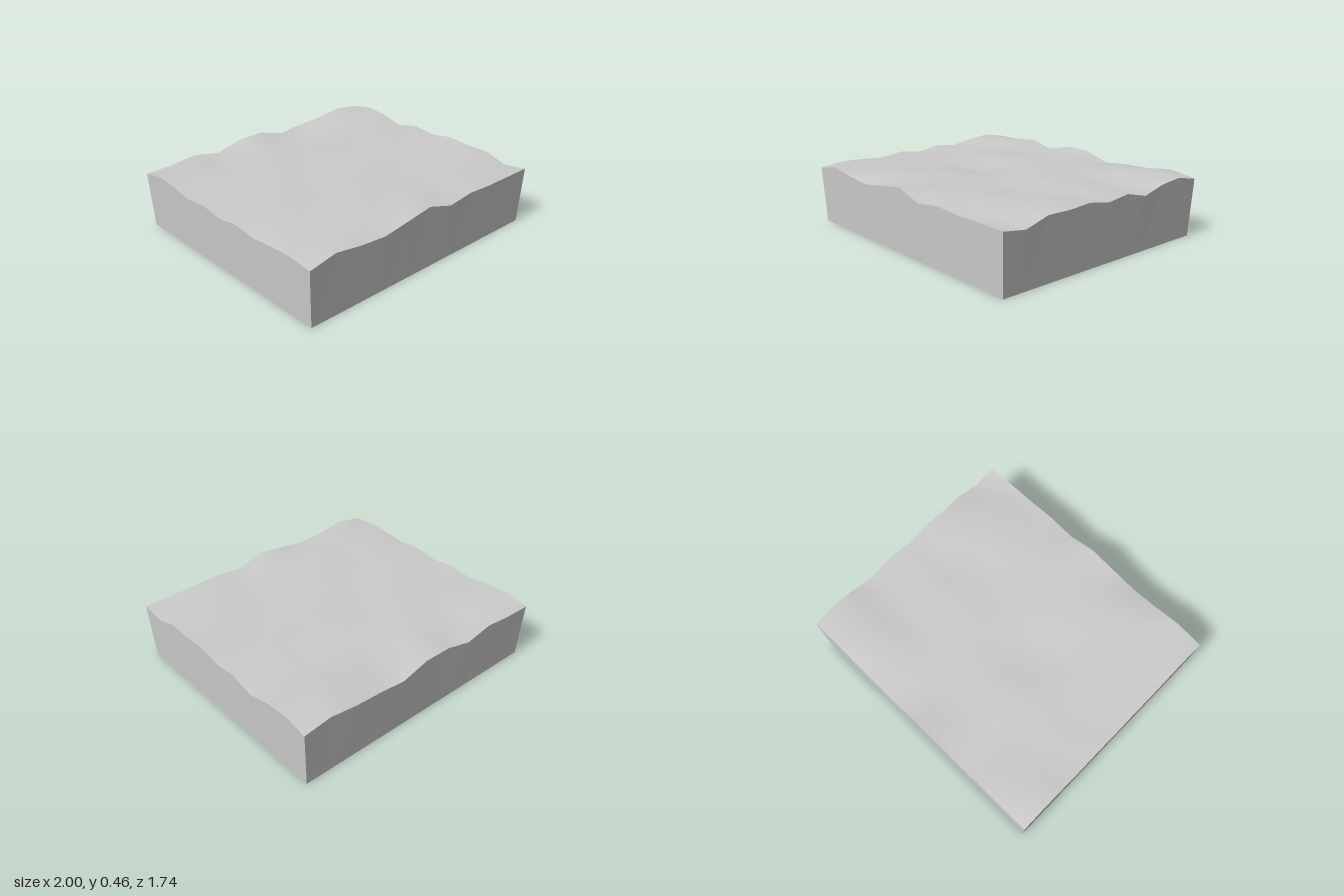
import * as THREE from 'three';

const N = 10, HX = 1, HZ = 0.87, BX = 0.98, BZ = 0.853, MEAN = 0.415;

// Edge heights in hundredths: x edges run from -x to +x, z edges from -z to +z
const front = [40, 44, 41, 39.5, 42.5, 45.5, 39.5, 42, 41, 41, 41];
const back = [40, 40.5, 42.5, 38.5, 43.5, 43.7, 38, 40, 41, 43.8, 41];
const left = [41, 44.5, 43, 38.5, 43, 41, 44, 43, 43.5, 38.5, 41];
const right = [40, 43.5, 42, 39.5, 41.5, 39, 41.5, 39.5, 41, 42, 40];

// Gentle mounds and hollows: x, z, height
const mounds = [
  [-0.2, 0.35, 0.022], [-0.22, 0.02, -0.028], [-0.35, -0.28, 0.022], [-0.4, -0.62, -0.015],
  [0.6, -0.66, 0.03], [0.5, -0.42, -0.022], [0.25, -0.25, 0.015], [0.6, -0.07, 0.022],
  [0.55, 0.15, -0.025], [0.65, 0.4, 0.022], [-0.4, 0.68, 0.035], [0.6, 0.74, 0.015],
  [0.2, 0.6, 0.018], [-0.75, 0.4, 0.012], [-0.7, -0.1, -0.01], [0, -0.58, -0.012],
];

function height(i, j) {
  if (j === 0) return back[i] / 100;
  if (j === N) return front[i] / 100;
  if (i === 0) return right[j] / 100;
  if (i === N) return left[j] / 100;
  const x = (i / N * 2 - 1) * HX, z = (j / N * 2 - 1) * HZ;
  let h = MEAN;
  for (const [cx, cz, a] of mounds) h += a * Math.exp(-((x - cx) ** 2 + (z - cz) ** 2) / 0.03);
  // the rim relief fades into the interior
  const fade = (edge, k, d) => (edge[k] / 100 - MEAN) * 0.45 ** d;
  return h + fade(back, i, j) + fade(front, i, N - j) + fade(right, j, i) + fade(left, j, N - i);
}

const topPoint = (i, j) => [(i / N * 2 - 1) * HX, height(i, j), (j / N * 2 - 1) * HZ];
const basePoint = (i, j) => [(i / N * 2 - 1) * BX, 0, (j / N * 2 - 1) * BZ];

export function createModel() {
  const group = new THREE.Group();
  const material = new THREE.MeshStandardMaterial({ color: 0xcccccc });
  const add = (name, geometry) => {
    const mesh = new THREE.Mesh(geometry, material);
    mesh.name = name;
    group.add(mesh);
  };

  // Undulating ground surface
  const ground = new THREE.PlaneGeometry(2 * HX, 2 * HZ, N, N).rotateX(-Math.PI / 2);
  const p = ground.attributes.position;
  for (let j = 0; j <= N; j++)
    for (let i = 0; i <= N; i++) p.setXYZ(j * (N + 1) + i, ...topPoint(i, j));
  ground.computeVertexNormals();
  add('groundSurface', ground);

  // Four walls tapering down to the base, each listed left to right as seen from outside
  const walls = {
    frontWall: k => [k, N],
    backWall: k => [N - k, 0],
    leftWall: k => [N, N - k],
    rightWall: k => [0, k],
  };
  for (const [name, at] of Object.entries(walls)) {
    const v = [];
    for (let k = 0; k < N; k++) {
      const a = basePoint(...at(k)), b = basePoint(...at(k + 1));
      const c = topPoint(...at(k + 1)), d = topPoint(...at(k));
      v.push(...a, ...b, ...c, ...a, ...c, ...d);
    }
    const wall = new THREE.BufferGeometry();
    wall.setAttribute('position', new THREE.Float32BufferAttribute(v, 3));
    wall.computeVertexNormals();
    add(name, wall);
  }

  // Flat underside
  add('underside', new THREE.PlaneGeometry(2 * BX, 2 * BZ).rotateX(Math.PI / 2));
  return group;
}
